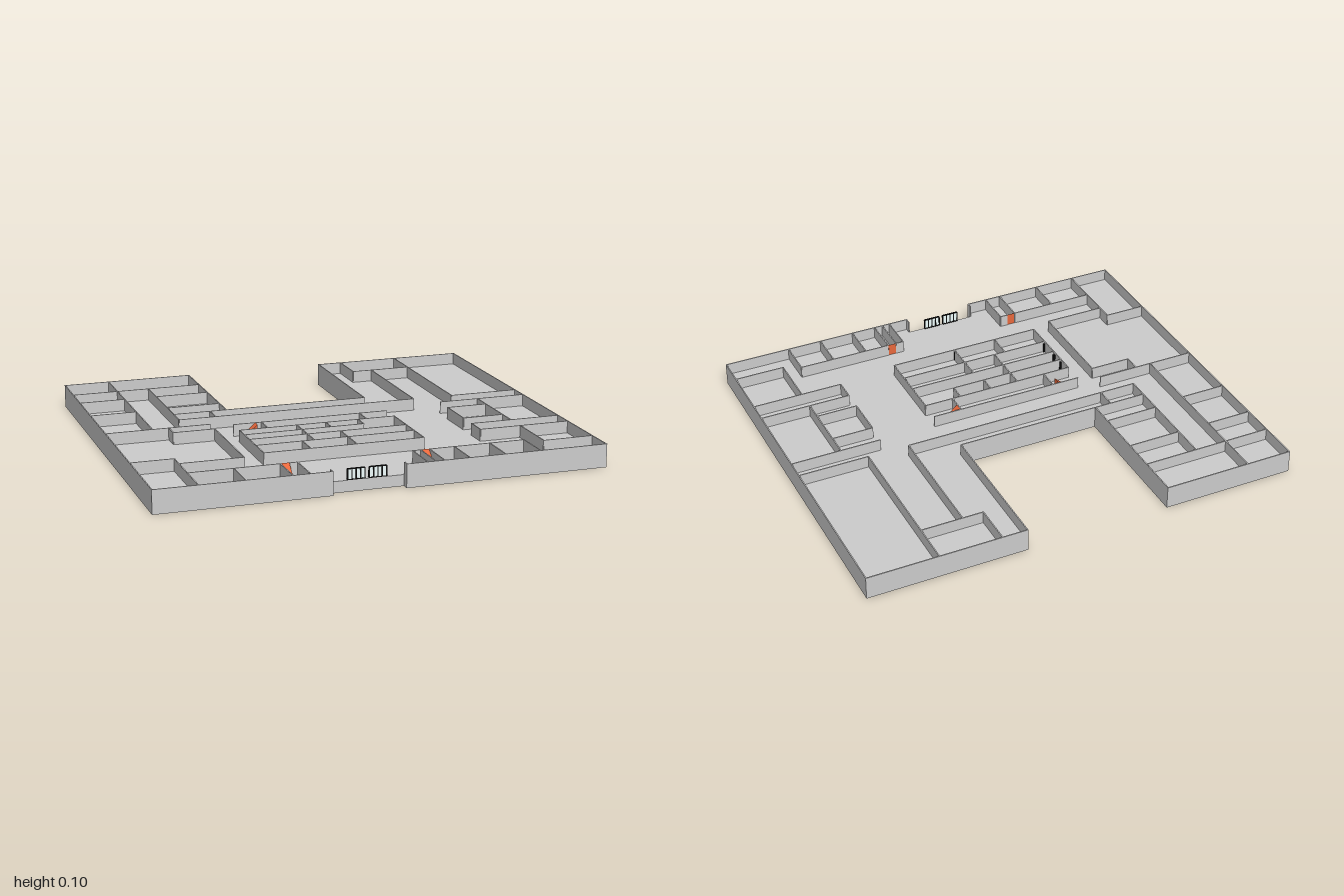
import * as THREE from 'three';

const H = 0.105, T = 0.005, FLOOR = 0.05;

const grey = new THREE.MeshStandardMaterial({ color: 0xcccccc });
const orange = new THREE.MeshStandardMaterial({ color: 0xe8683c });
const dark = new THREE.MeshStandardMaterial({ color: 0x101010 });
const glass = new THREE.MeshStandardMaterial({ color: 0xf0ffff });

// Box given by its minimum and maximum corners
function block(parent, name, mat, x0, y0, z0, x1, y1, z1) {
  const mesh = new THREE.Mesh(new THREE.BoxGeometry(x1 - x0, y1 - y0, z1 - z0), mat);
  mesh.position.set((x0 + x1) / 2, (y0 + y1) / 2, (z0 + z1) / 2);
  mesh.name = name;
  parent.add(mesh);
}

// Wall along x at depth z, and wall along z at position x, standing on height y
function wallX(parent, name, y, z, x0, x1) {
  block(parent, name, grey, x0, y, z - T / 2, x1, H, z + T / 2);
}
function wallZ(parent, name, y, x, z0, z1) {
  block(parent, name, grey, x - T / 2, y, z0, x + T / 2, H, z1);
}

function group(parent, name) {
  const g = new THREE.Group();
  g.name = name;
  parent.add(g);
  return g;
}

// Solid ramp rising from its low end at (x, z) along local +x
function ramp(parent, name, x, z, turn, length, width) {
  const side = new THREE.Shape([[0, 0], [length, 0], [length, H - FLOOR]].map(p => new THREE.Vector2(...p)));
  const geometry = new THREE.ExtrudeGeometry(side, { depth: width, bevelEnabled: false });
  const mesh = new THREE.Mesh(geometry.translate(0, 0, -width / 2), orange);
  mesh.name = name;
  mesh.position.set(x, FLOOR, z);
  mesh.rotation.y = turn;
  parent.add(mesh);
}

export function createModel() {
  const model = new THREE.Group();
  model.name = 'buildingFloor';

  // Thick floor slab in a U shape with a recessed entrance
  const outline = [[-1, -0.857], [-0.388, -0.857], [-0.388, -0.194], [0.273, -0.194], [0.273, -0.857],
    [1, -0.857], [1, 0.857], [0.083, 0.857], [0.083, 0.825], [-0.238, 0.825], [-0.238, 0.857], [-1, 0.857]];
  const shape = new THREE.Shape(outline.map(([x, z]) => new THREE.Vector2(x, -z)));
  const slab = new THREE.ExtrudeGeometry(shape, { depth: FLOOR, bevelEnabled: false }).rotateX(-Math.PI / 2);
  const floor = new THREE.Mesh(slab, grey);
  floor.name = 'floor';
  model.add(floor);

  // Outer walls, kept inside the outline; the entrance stays open
  const outer = group(model, 'outerWalls'), h = T / 2;
  [[-0.857 + h, -1, -0.388], [-0.194 + h, -0.388 - T, 0.273 + T], [-0.857 + h, 0.273, 1],
    [0.857 - h, 0.083, 1], [0.857 - h, -1, -0.238]].forEach(w => wallX(outer, 'outerWall', FLOOR, ...w));
  [[-1 + h, -0.857, 0.857], [1 - h, -0.857, 0.857], [-0.388 - h, -0.857, -0.194], [0.273 + h, -0.857, -0.194],
    [0.083 + h, 0.825, 0.857], [-0.238 - h, 0.825, 0.857]].forEach(w => wallZ(outer, 'outerWall', FLOOR, ...w));

  // Room dividers: x lists [z, x0, x1], z lists [x, z0, z1]
  const areas = {
    leftWingWalls: {
      x: [[-0.667, -1, -0.388], [-0.517, -1, -0.787], [-0.517, -0.637, -0.388], [-0.288, -1, -0.787],
        [-0.307, -0.637, -0.388], [-0.192, -0.637, -0.388], [-0.097, -0.637, 0.485]],
      z: [[-0.787, -0.857, 0.016], [-0.637, -0.667, -0.097], [-0.468, -0.192, -0.097]],
    },
    rightWingWalls: {
      x: [[-0.667, 0.39, 0.675], [-0.097, 0.675, 1]],
      z: [[0.39, -0.857, -0.667], [0.675, -0.857, -0.097], [0.485, -0.667, -0.097]],
    },
    leftHallWalls: {
      x: [[0.016, -1, -0.525], [0.094, -0.713, -0.525], [0.547, -0.807, -0.525], [0.473, -1, -0.807]],
      z: [[-0.713, 0.016, 0.094], [-0.525, 0.094, 0.547], [-0.807, 0.473, 0.857]],
    },
    rightHallWalls: {
      x: [[-0.005, 0.58, 1], [0.094, 0.577, 0.767], [0.283, 0.577, 0.767], [0.375, 0.577, 1],
        [0.475, 0.577, 1], [0.72, 0.767, 1]],
      z: [[0.767, -0.005, 0.375], [0.577, 0.094, 0.283], [0.577, 0.375, 0.475], [0.767, 0.475, 0.72]],
    },
    frontRoomWalls: {
      x: [[0.683, -0.807, -0.41], [0.683, -0.37, -0.335], [0.683, 0.177, 0.213], [0.683, 0.253, 0.69]],
      z: [-0.61, -0.41, -0.335, 0.177, 0.213, 0.253, 0.367, 0.53, 0.69].map(x => [x, 0.683, 0.857]),
    },
    centralWalls: {
      x: [[0.055, -0.43, 0.295], [0.15, -0.43, 0.295], [0.225, -0.43, 0.12], [0.3, -0.43, 0.295],
        [0.396, -0.43, 0.295], [0.513, -0.43, 0.295]],
      z: [[-0.3, 0.055, 0.15], [0.162, 0.055, 0.15], [-0.429, 0.15, 0.513], [0.295, 0.15, 0.513],
        [-0.165, 0.15, 0.396], [-0.03, 0.15, 0.225], [0.122, 0.15, 0.225], [-0.22, 0.396, 0.513],
        [-0.012, 0.3, 0.513]],
    },
  };
  for (const [name, { x, z }] of Object.entries(areas)) {
    const g = group(model, name);
    x.forEach(w => wallX(g, 'wall', FLOOR, ...w));
    z.forEach(w => wallZ(g, 'wall', FLOOR, ...w));
  }

  // Ramps: a mirrored pair beside the core and a pair at the front
  ramp(model, 'backRampRight', -0.392, 0.076, 0, 0.062, 0.038);
  ramp(model, 'backRampLeft', 0.227, 0.076, Math.PI, 0.062, 0.038);
  ramp(model, 'frontRampRight', -0.389, 0.745, Math.PI / 2, 0.063, 0.036);
  ramp(model, 'frontRampLeft', 0.234, 0.745, Math.PI / 2, 0.063, 0.036);

  // Small dark doors on the central block
  for (const [x, z] of [[-0.425, 0.222], [-0.425, 0.285], [-0.425, 0.392], [0.291, 0.392], [-0.015, 0.508]]) {
    block(model, 'door', dark, x - 0.006, FLOOR, z - 0.006, x + 0.006, 0.095, z + 0.006);
  }

  // Barred glass doors standing at the edge of the entrance
  for (const x0 of [-0.165, -0.07]) {
    const g = group(model, 'entranceDoor'), w = 0.076, y0 = FLOOR + 0.002, y1 = 0.098, z = 0.821;
    block(g, 'pane', glass, x0, y0, z - 0.002, x0 + w, y1, z + 0.002);
    for (let i = 0; i <= 4; i++) {
      const x = x0 + i * w / 4;
      block(g, 'bar', dark, x - 0.0025, y0, z - 0.004, x + 0.0025, y1, z + 0.004);
    }
    for (const y of [y0, y1]) block(g, 'rail', dark, x0, y - 0.002, z - 0.004, x0 + w, y + 0.002, z + 0.004);
  }

  return model;
}
